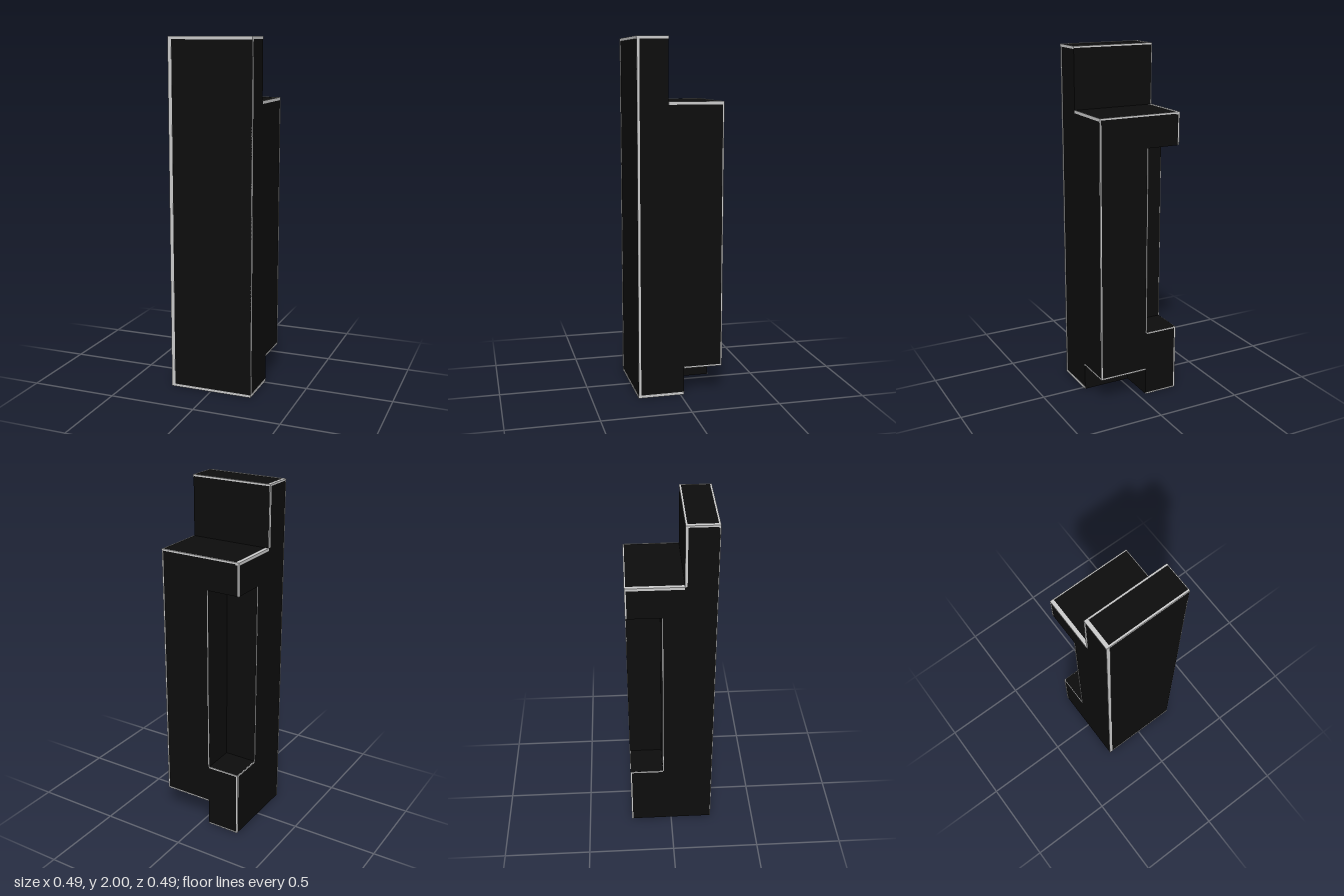
import * as THREE from 'three';

const E = 0.243;   // outer half width, trim included
const B = 0.241;   // half width of the dark body
const IN = 0.239;  // inner side of thin face strips
const STEP = 1.655, TOP = 2, RIDGE = 0.068;
const POCKET = { edge: -0.05, y0: 0.39, y1: 1.47 };
const NOTCH = { x: -0.045, z: -0.022, h: 0.155 };

export function createModel() {
  const group = new THREE.Group();
  const black = new THREE.MeshStandardMaterial({ color: 0x0d0d0d });
  black.name = 'black';
  const paleGrey = new THREE.MeshStandardMaterial({ color: 0xcccccc });
  paleGrey.name = 'pale grey';

  // A plan outline given as [x, z] corners, raised from y0 to y1
  function layer(name, y0, y1, corners) {
    const shape = new THREE.Shape(corners.map(([x, z]) => new THREE.Vector2(x, z)));
    const geometry = new THREE.ExtrudeGeometry(shape, { depth: y1 - y0, bevelEnabled: false });
    geometry.rotateX(Math.PI / 2).translate(0, y1, 0);
    const mesh = new THREE.Mesh(geometry, black);
    mesh.name = name;
    group.add(mesh);
  }

  // A thin edge strip between two opposite corners
  function trim(name, x0, x1, y0, y1, z0, z1) {
    const geometry = new THREE.BoxGeometry(x1 - x0, y1 - y0, z1 - z0);
    geometry.translate((x0 + x1) / 2, (y0 + y1) / 2, (z0 + z1) / 2);
    const mesh = new THREE.Mesh(geometry, paleGrey);
    mesh.name = name;
    group.add(mesh);
  }

  // Body, from the floor up
  const square = [[-B, -B], [B, -B], [B, B], [-B, B]];
  const p = POCKET.edge;
  layer('notchedBase', 0.001, NOTCH.h,
    [[-B, -B], [NOTCH.x, -B], [NOTCH.x, NOTCH.z], [B, NOTCH.z], [B, B], [-B, B]]);
  layer('lowerBody', NOTCH.h, POCKET.y0, square);
  layer('pocketBody', POCKET.y0, POCKET.y1,
    [[p, -B], [B, -B], [B, B], [-B, B], [-B, p], [p, p]]);
  layer('upperBody', POCKET.y1, STEP - 0.002, square);
  layer('topWall', STEP - 0.002, TOP - 0.002, [[-B, 0.07], [B, 0.07], [B, B], [-B, B]]);

  // Front edges
  trim('frontSideTrim', -E, -0.222, 0, TOP, IN, E);
  trim('frontTopTrim', -E, E, 1.983, TOP, 0.233, E);
  trim('frontBottomTrim', -E, E, 0, 0.015, IN, E);
  trim('leftFrontTrim', IN, E, 0, TOP, 0.227, B);

  // Top wall edges
  trim('topRightTrim', -E, -0.222, 1.99, TOP, RIDGE, E);
  trim('topLeftTrim', IN, E, 1.985, TOP, RIDGE, E);
  trim('topBackTrim', -E, E, 1.99, TOP, RIDGE, 0.078);
  trim('wallCornerTrim', -E, -IN, STEP, TOP, RIDGE, 0.082);

  // Step edges
  trim('stepRightTrim', -E, -0.222, 1.64, STEP, -E, RIDGE);
  trim('stepLeftTrim', IN, E, 1.638, STEP, -E, RIDGE);
  trim('stepBackTrim', -E, E, 1.645, STEP, -E, -0.236);

  // Back corners
  for (const [y0, y1] of [[0, POCKET.y0], [POCKET.y1, STEP]]) {
    trim('backRightTrim', -E, -0.234, y0, y1, -E, -0.234);
  }
  trim('backLeftTrim', 0.235, E, NOTCH.h, STEP, -E, -0.236);

  // Bottom and notch edges
  trim('bottomLeftTrim', IN, E, 0, 0.016, NOTCH.z, E);
  trim('bottomBackTrim', -E, NOTCH.x, 0, 0.008, -E, -IN);
  trim('notchLeftTrim', IN, E, NOTCH.h, NOTCH.h + 0.009, -E, NOTCH.z);
  trim('notchBackTrim', NOTCH.x, E, NOTCH.h, NOTCH.h + 0.009, -E, -IN);

  // Pocket edges
  trim('pocketBackTrim', p, p + 0.006, POCKET.y0, POCKET.y1, -E, -IN);
  trim('pocketSideTrim', -E, -IN, POCKET.y0, POCKET.y1, p, p + 0.006);
  trim('pocketSillBackTrim', -E, p, POCKET.y0 - 0.008, POCKET.y0, -E, -IN);
  trim('pocketSillSideTrim', -E, -IN, POCKET.y0 - 0.008, POCKET.y0, -E, p);

  return group;
}
